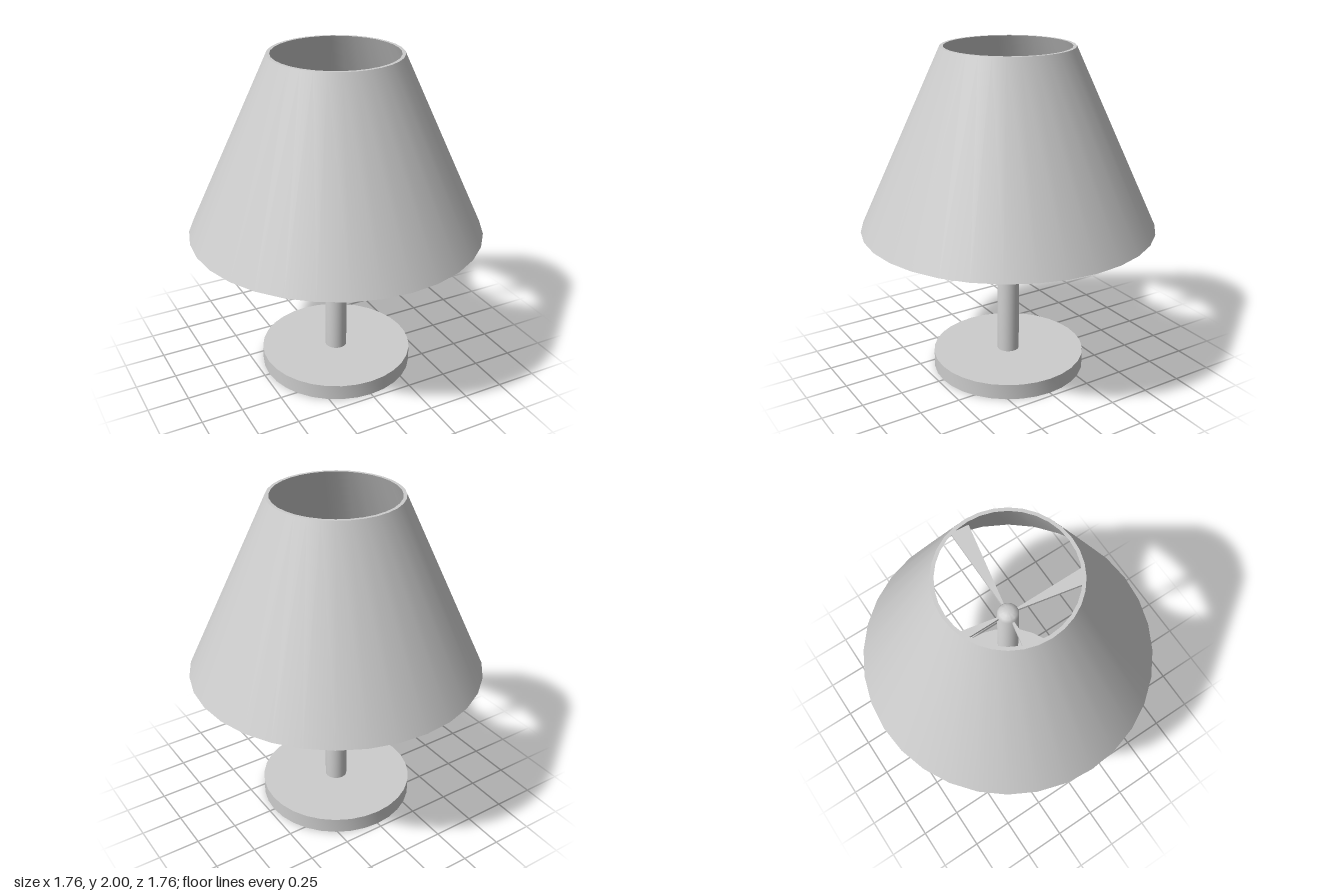
import * as THREE from 'three';
import { toCreasedNormals } from 'three/addons/utils/BufferGeometryUtils.js';

const SIDES = 32;

export function createModel() {
  const model = new THREE.Group();
  model.name = 'tableLamp';

  const lampGrey = new THREE.MeshStandardMaterial({ color: 0xcccccc });
  lampGrey.name = 'lampGrey';

  // Turned part from [radius, height] pairs, with crisp rims
  function turned(name, profile) {
    const points = profile.map(([r, y]) => new THREE.Vector2(r, y));
    const geometry = toCreasedNormals(new THREE.LatheGeometry(points, SIDES), 0.7);
    const mesh = new THREE.Mesh(geometry, lampGrey);
    mesh.name = name;
    model.add(mesh);
  }

  // Flat round foot
  turned('base', [[0, 0], [0.468, 0], [0.468, 0.095], [0, 0.095]]);

  // Slightly tapering stem with a softened top
  turned('stem', [
    [0.067, 0.09], [0.067, 0.63], [0.061, 0.66], [0.061, 1.53],
    [0.05, 1.55], [0.03, 1.56], [0, 1.565],
  ]);

  // Open conical shade: outer wall, top rim, inner wall, bottom rim
  turned('shade', [
    [0.878, 0.932], [0.386, 2], [0.366, 2], [0.858, 0.932], [0.878, 0.932],
  ]);

  // Four wedge-shaped spokes joining the stem to the inside of the shade
  const step = (Math.PI * 2) / SIDES;
  const inner = 0.05, outer = 0.59, thickness = 0.02;
  const wedge = new THREE.Shape([
    new THREE.Vector2(inner, 0),
    new THREE.Vector2(inner * Math.cos(step), -inner * Math.sin(step)),
    new THREE.Vector2(outer * Math.cos(step), -outer * Math.sin(step)),
    new THREE.Vector2(outer, 0),
  ]);
  const spokeGeometry = new THREE.ExtrudeGeometry(wedge, { depth: thickness, bevelEnabled: false });
  spokeGeometry.rotateX(-Math.PI / 2);
  const spokes = new THREE.Group();
  spokes.name = 'shadeSpokes';
  for (let i = 0; i < 4; i++) {
    const spoke = new THREE.Mesh(spokeGeometry, lampGrey);
    spoke.name = 'spoke' + (i + 1);
    spoke.position.y = 1.51;
    spoke.rotation.y = (i * Math.PI) / 2;
    spokes.add(spoke);
  }
  model.add(spokes);

  return model;
}
